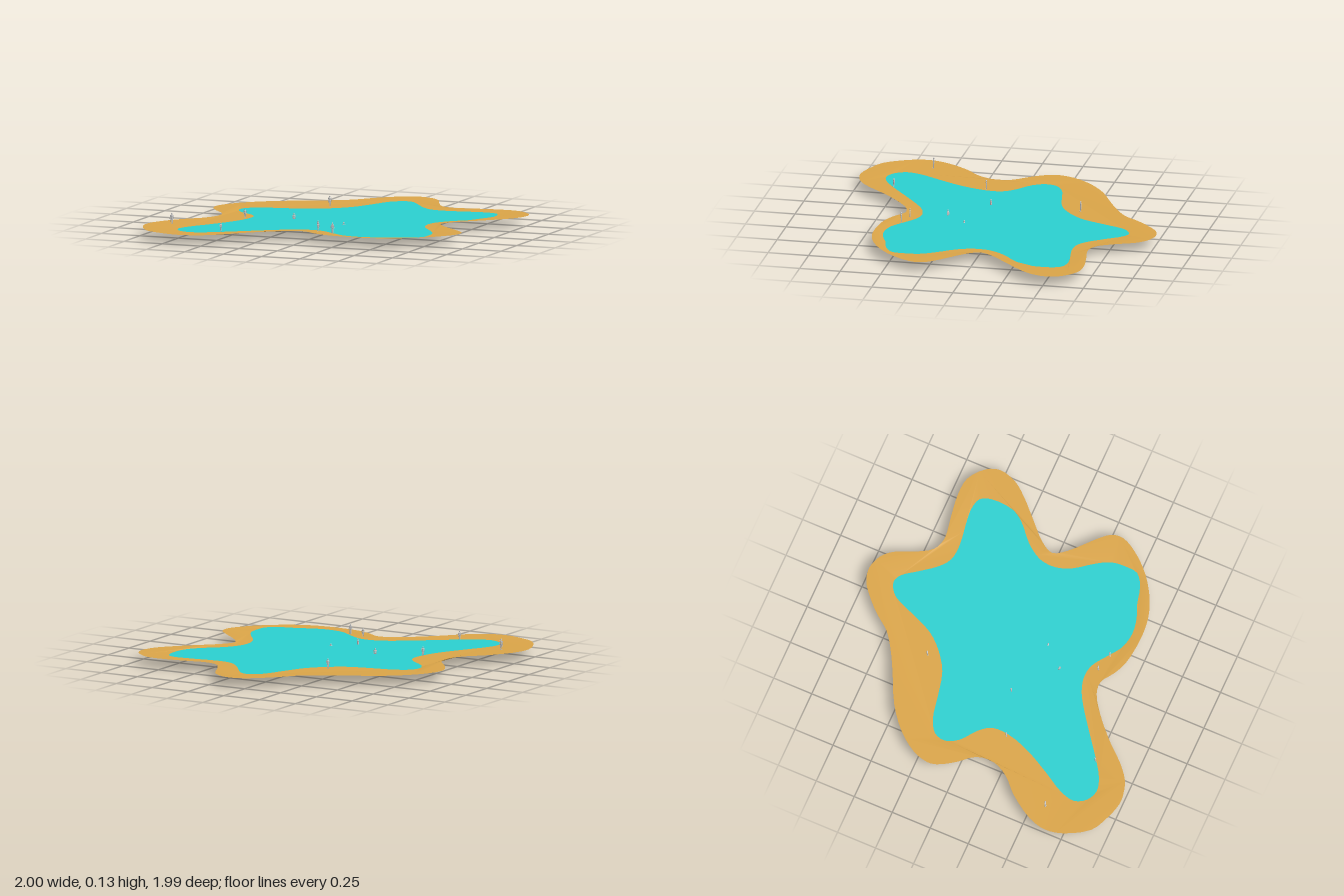
import * as THREE from 'three';

// Shore lines as x, z pairs
const SHORE = [
  0.11, -1, 0.2, -0.97, 0.26, -0.91, 0.32, -0.78, 0.38, -0.69, 0.46, -0.66, 0.6, -0.68, 0.75, -0.7,
  0.87, -0.69, 0.97, -0.61, 1, -0.53, 0.97, -0.42, 0.91, -0.34, 0.8, -0.23, 0.68, -0.11, 0.64, -0.03,
  0.69, 0.05, 0.83, 0.18, 0.89, 0.25, 0.9, 0.32, 0.85, 0.42, 0.74, 0.54, 0.6, 0.63, 0.48, 0.67,
  0.35, 0.68, 0.17, 0.66, 0.08, 0.62, 0, 0.57, -0.08, 0.58, -0.2, 0.66, -0.33, 0.78, -0.43, 0.89,
  -0.52, 0.96, -0.6, 0.985, -0.67, 0.99, -0.8, 0.95, -0.89, 0.9, -0.98, 0.75, -1, 0.64, -0.97, 0.53,
  -0.87, 0.38, -0.78, 0.29, -0.73, 0.19, -0.74, 0.08, -0.82, -0.02, -0.88, -0.12, -0.89, -0.18,
  -0.86, -0.28, -0.77, -0.4, -0.63, -0.51, -0.45, -0.6, -0.32, -0.67, -0.22, -0.74, -0.14, -0.84,
  -0.06, -0.92, 0.02, -0.98,
];
const WATER = [
  0.09, -0.83, 0.14, -0.81, 0.21, -0.72, 0.29, -0.62, 0.36, -0.57, 0.46, -0.56, 0.6, -0.58, 0.7, -0.59,
  0.78, -0.57, 0.81, -0.5, 0.8, -0.36, 0.75, -0.28, 0.64, -0.18, 0.575, -0.08, 0.565, 0.02, 0.6, 0.12,
  0.68, 0.23, 0.73, 0.32, 0.74, 0.42, 0.73, 0.49, 0.66, 0.54, 0.55, 0.57, 0.46, 0.605, 0.36, 0.62,
  0.26, 0.6, 0.17, 0.54, 0.08, 0.48, 0, 0.465, -0.1, 0.49, -0.2, 0.55, -0.35, 0.66, -0.5, 0.77,
  -0.58, 0.815, -0.65, 0.83, -0.72, 0.8, -0.76, 0.73, -0.74, 0.64, -0.66, 0.5, -0.58, 0.35,
  -0.53, 0.2, -0.53, 0.09, -0.58, 0.02, -0.68, -0.06, -0.72, -0.14, -0.7, -0.21, -0.62, -0.26,
  -0.48, -0.29, -0.32, -0.33, -0.2, -0.41, -0.12, -0.5, -0.06, -0.63, 0, -0.77, 0.04, -0.81,
];
const WATER_Y = 0.054, SHORE_Y = 0.059;

// Smooth closed outline; shape y is -z so that the sheet faces up once laid down
function outline(pairs) {
  const pts = [];
  for (let i = 0; i < pairs.length; i += 2) pts.push(new THREE.Vector3(pairs[i], -pairs[i + 1], 0));
  const curve = new THREE.CatmullRomCurve3(pts, true);
  return curve.getPoints(pts.length * 3).slice(0, -1).map((p) => new THREE.Vector2(p.x, p.y));
}

function sheet(name, shape, color, y) {
  const geo = new THREE.ShapeGeometry(shape).rotateX(-Math.PI / 2).translate(0, y, 0);
  const mesh = new THREE.Mesh(geo, new THREE.MeshStandardMaterial({ color, side: THREE.DoubleSide }));
  mesh.name = name;
  return mesh;
}

// One small standing person, one unit tall, facing +z
function createPerson(material) {
  const person = new THREE.Group();
  const add = (name, geo, x, y, z = 0, tilt = 0) => {
    const mesh = new THREE.Mesh(geo, material);
    mesh.name = name;
    mesh.position.set(x, y, z);
    mesh.rotation.z = tilt;
    person.add(mesh);
  };
  add('head', new THREE.SphereGeometry(0.075, 10, 8).scale(0.85, 1.1, 1), 0, 0.92);
  add('neck', new THREE.CylinderGeometry(0.035, 0.04, 0.08, 8), 0, 0.83);
  const torso = [[0, 0.44], [0.09, 0.46], [0.1, 0.52], [0.08, 0.6], [0.11, 0.73], [0.11, 0.79], [0.04, 0.83], [0, 0.83]];
  add('torso', new THREE.LatheGeometry(torso.map(([r, y]) => new THREE.Vector2(r, y)), 12).scale(1, 1, 0.65), 0, 0);
  for (const s of [1, -1]) {
    add('arm', new THREE.CylinderGeometry(0.033, 0.022, 0.36, 8), s * 0.14, 0.63, 0, s * 0.12);
    add('leg', new THREE.CylinderGeometry(0.055, 0.03, 0.47, 8), s * 0.05, 0.245);
    add('foot', new THREE.BoxGeometry(0.055, 0.035, 0.14), s * 0.05, 0.0175, 0.03);
  }
  return person;
}

export function createModel() {
  const model = new THREE.Group();

  // Sandy bank: a ring that dips gently to the water
  const shore = outline(SHORE), water = outline(WATER);
  const ring = new THREE.Shape(shore);
  ring.holes.push(new THREE.Path(water));
  const bank = sheet('sandBank', ring, 0xdba548, WATER_Y);
  const pos = bank.geometry.attributes.position;
  for (let i = 0; i < shore.length; i++) pos.setY(i, SHORE_Y);
  bank.geometry.computeVertexNormals();
  model.add(bank);
  model.add(sheet('lakeWater', new THREE.Shape(water), 0x2bd0d0, WATER_Y));

  // People on the bank and wading: x, z, foot height, body height, turn
  const grey = new THREE.MeshStandardMaterial({ color: 0xcccccc });
  const people = [
    [-0.86, 0.585, 0.056, 0.07, 0.2],
    [-0.545, 0.19, 0.056, 0.057, 0.4],
    [-0.475, 0.745, 0.056, 0.054, 0.9],
    [-0.26, -0.455, 0.056, 0.064, 0.5],
    [-0.265, 0.1, 0.031, 0.06, 0.7],
    [-0.02, 0.31, 0.027, 0.062, -0.5],
    [0.095, 0.185, 0, 0.069, 0],
    [0.07, 0.525, 0.056, 0.054, 0],
    [0.175, 0.555, 0.056, 0.064, 0.2],
  ];
  for (const [x, z, y, height, turn] of people) {
    const person = createPerson(grey);
    person.name = y < 0.05 ? 'wadingPerson' : 'standingPerson';
    person.position.set(x, y, z);
    person.scale.setScalar(height);
    person.rotation.y = turn;
    model.add(person);
  }
  return model;
}
